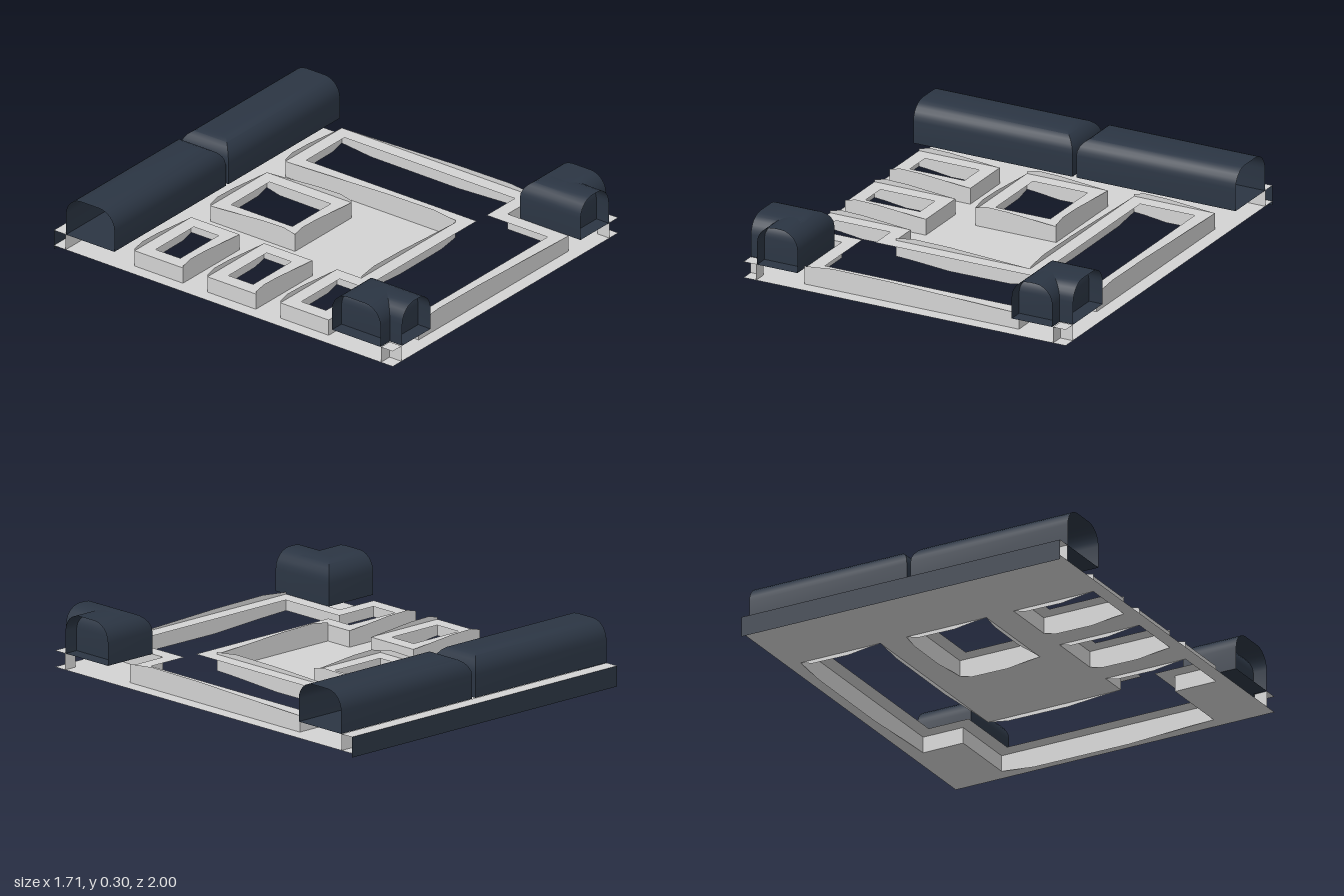
import * as THREE from 'three';
import { toCreasedNormals } from 'three/addons/utils/BufferGeometryUtils.js';

const FLOOR = 0.02, CURB = 0.1, TOP = 0.3;

// Indexed grid of point rows turned into a creased surface
function rowsToGeometry(rows, extra = []) {
  const n = rows[0].length, index = [];
  for (let i = 0; i < rows.length - 1; i++) {
    for (let j = 0; j < n - 1; j++) {
      const a = i * n + j, b = a + 1, c = a + n, d = c + 1;
      index.push(a, b, d, a, d, c);
    }
  }
  const g = new THREE.BufferGeometry();
  g.setAttribute('position', new THREE.Float32BufferAttribute(rows.flat(2), 3));
  g.setIndex(index.concat(extra));
  return toCreasedNormals(g, 0.6);
}

// Hollow hedge with a floor: rounded closed end at z = 0, open end at z = length
function hedgeGeometry(length, width) {
  const r = 0.09, steps = 6, rows = [];
  const ring = (inset, y) => {
    const h = width / 2 - inset;
    return [[h, y, length], [h, y, inset], [-h, y, inset], [-h, y, length]];
  };
  rows.push(ring(0, CURB));
  for (let i = 0; i <= steps; i++) {
    const a = (i / steps) * Math.PI / 2;
    rows.push(ring(r * (1 - Math.cos(a)), TOP - r + r * Math.sin(a)));
  }
  const k = (rows.length - 1) * 4;
  return rowsToGeometry(rows, [k, k + 1, k + 2, k, k + 2, k + 3, 0, 2, 1, 0, 3, 2]);
}

// Upright curb sheet between two plan points; longer ones bow slightly
function curbGeometry([x0, z0], [x1, z1]) {
  const len = Math.hypot(x1 - x0, z1 - z0);
  const stations = len > 0.42 && len < 0.8 || len > 0.9
    ? [[0, 0.01, 0], [0.13, 0.025, -0.005], [0.4, 0.022, -0.02], [0.85, 0.005, -0.018], [1, 0, 0]]
    : [[0, 0, 0], [1, 0, 0]];
  const row = (base, k) => stations.map((s) => [
    x0 + (x1 - x0) * s[0], base + s[k], z0 + (z1 - z0) * s[0]]);
  return rowsToGeometry([row(FLOOR, 2), row(CURB, 1)]);
}

const rect = (x0, x1, z0, z1) => [[x0, z0], [x1, z0], [x1, z1], [x0, z1]];

// Flat sheet in plan with holes
function sheetGeometry(outline, holes = []) {
  const toPoints = (pts) => pts.map(([x, z]) => new THREE.Vector2(x, -z));
  const shape = new THREE.Shape(toPoints(outline));
  holes.forEach((h) => shape.holes.push(new THREE.Path(toPoints(h))));
  return new THREE.ShapeGeometry(shape).rotateX(-Math.PI / 2);
}

export function createModel() {
  const model = new THREE.Group();
  model.name = 'courtyardTile';
  const material = (name, color) => {
    const m = new THREE.MeshStandardMaterial({ color, side: THREE.DoubleSide });
    m.name = name;
    return m;
  };
  const grey = material('stoneGrey', 0xd3d3d3);
  const navy = material('hedgeNavy', 0x2b3543);

  const add = (name, geometry, mat, x = 0, y = 0, z = 0, turn = 0) => {
    const mesh = new THREE.Mesh(geometry, mat);
    mesh.name = name;
    mesh.position.set(x, y, z);
    mesh.rotation.y = turn;
    model.add(mesh);
  };

  // Plan of the openings, and of the curbs set back around them
  const openings = [
    rect(-0.72, -0.43, -0.505, -0.36),
    rect(-0.72, -0.43, -0.075, 0.07),
    rect(-0.145, 0.145, -0.505, -0.145),
    [[-0.72, 0.355], [-0.43, 0.355], [-0.43, 0.5], [0.425, 0.5], [0.425, -0.505], [0.715, -0.505],
      [0.715, 0.5], [0.5, 0.5], [0.5, 0.86], [-0.5, 0.86], [-0.5, 0.5], [-0.72, 0.5]],
  ];
  const curbs = [
    rect(-0.79, -0.36, -0.575, -0.29),
    rect(-0.79, -0.36, -0.145, 0.14),
    rect(-0.215, 0.215, -0.575, -0.075),
    [[-0.79, 0.285], [-0.36, 0.285], [-0.36, 0.43], [0.355, 0.43], [0.355, -0.575], [0.785, -0.575],
      [0.785, 0.57], [0.57, 0.57], [0.57, 0.93], [-0.57, 0.93], [-0.57, 0.57], [-0.79, 0.57]],
  ];

  // Low floor plate, cut out inside the curbs
  add('floorPlate', sheetGeometry(rect(-0.857, 0.857, -1, 1), curbs), grey, 0, FLOOR);

  // Raised ledge and upright curb around each opening
  curbs.forEach((loop, k) => {
    add('openingLedge', sheetGeometry(loop, [openings[k]]), grey, 0, CURB);
    loop.forEach((p, i) => {
      const q = loop[(i + 1) % loop.length];
      // Long curbs rise towards the front or the -x side
      const flip = q[0] < p[0] - 0.01 || q[1] > p[1] + 0.01;
      add('openingCurb', flip ? curbGeometry(q, p) : curbGeometry(p, q), grey);
    });
  });

  // Raised ledge along the back, with its curb and dark facing
  add('backLedge', sheetGeometry(rect(-0.857, 0.857, -1, -0.93)), grey, 0, CURB);
  add('backFacing', new THREE.PlaneGeometry(1.714, CURB), navy, 0, CURB / 2, -1, Math.PI);

  for (const s of [-1, 1]) {
    add('backCurb', curbGeometry([0, -0.93], [s * 0.857, -0.93]), grey);
    // Small raised corners at the front
    add('cornerCurb', curbGeometry([s * 0.79, 1], [s * 0.79, 0.93]), grey);
    add('cornerCurb', curbGeometry([s * 0.79, 0.93], [s * 0.857, 0.93]), grey);
    add('cornerLedge', sheetGeometry(rect(-0.0335, 0.0335, 0.93, 1)), grey, s * 0.8235, CURB);
    // Long back hedge and the two arms of the front corner hedge
    add('backHedge', hedgeGeometry(0.847, 0.285), navy, s * 0.01, 0, -0.785, s * Math.PI / 2);
    add('cornerHedgeSideArm', hedgeGeometry(0.287, 0.285), navy, s * 0.57, 0, 0.785, s * Math.PI / 2);
    add('cornerHedgeFrontArm', hedgeGeometry(0.357, 0.215), navy, s * 0.6775, 0, 0.643);
  }
  return model;
}
